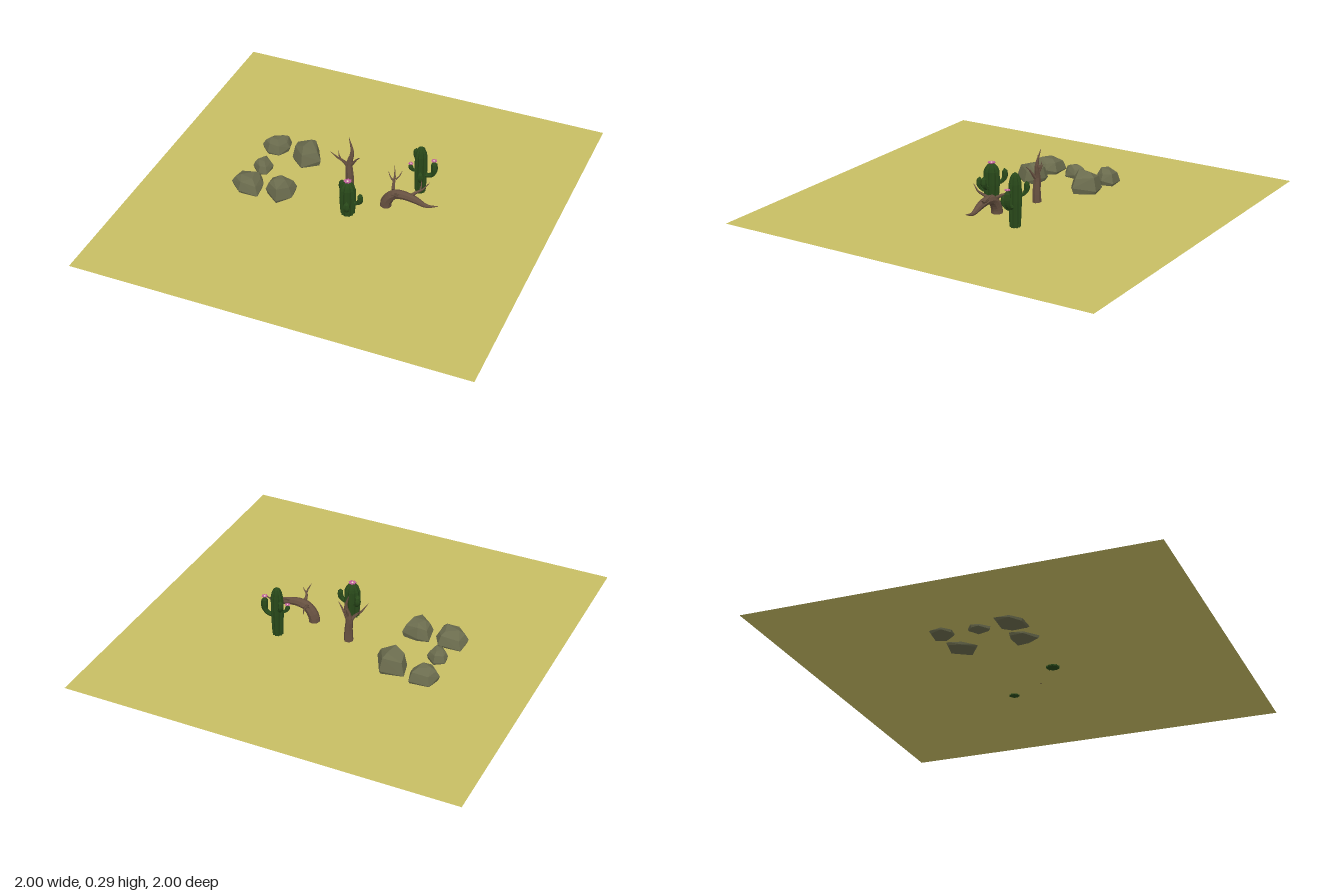
import * as THREE from 'three';
import { ConvexGeometry } from 'three/addons/geometries/ConvexGeometry.js';

const mat = (color, extra = {}) => {
  const m = new THREE.MeshStandardMaterial({ flatShading: true, ...extra });
  m.color.set(color);
  return m;
};
const GROUND = 0.012;

// Tapered tube along a path; profile is a list of [u, radius]; its start is capped flat.
function limb(name, path, profile, material, { sides = 7, rings = 10, rib = 0 } = {}) {
  const curve = new THREE.CatmullRomCurve3(path.map(p => new THREE.Vector3(...p)));
  const geo = new THREE.TubeGeometry(curve, rings, 1, sides);
  const pos = geo.attributes.position;
  const v = new THREE.Vector3();
  const radiusAt = u => {
    for (let k = 1; k < profile.length; k++) {
      const [u0, r0] = profile[k - 1], [u1, r1] = profile[k];
      if (u <= u1) return r0 + (r1 - r0) * (u - u0) / (u1 - u0);
    }
    return profile[profile.length - 1][1];
  };
  for (let i = 0; i <= rings; i++) {
    const centre = curve.getPointAt(i / rings);
    const r = radiusAt(i / rings);
    const capCentre = curve.getPointAt(Math.max(i, 1) / rings);
    for (let j = 0; j <= sides; j++) {
      const n = i * (sides + 1) + j;
      v.fromBufferAttribute(pos, n).sub(centre);
      v.multiplyScalar(i === 0 ? 0 : r * (j % 2 ? 1 - rib : 1)).add(capCentre);
      pos.setXYZ(n, v.x, v.y, v.z);
    }
  }
  geo.computeVertexNormals();
  const mesh = new THREE.Mesh(geo, material);
  mesh.name = name;
  return mesh;
}

// Faceted stone from a ground outline of [x, z] points
function rock(outline, height, material) {
  const cx = outline.reduce((s, p) => s + p[0], 0) / outline.length;
  const cz = outline.reduce((s, p) => s + p[1], 0) / outline.length;
  const pts = [];
  outline.forEach(([x, z], i) => {
    const layer = (k, y) => pts.push(new THREE.Vector3(cx + (x - cx) * k, y, cz + (z - cz) * k));
    layer(0.85, 0.004 * (i % 2));
    layer(1, 0.015 + height * 0.12 * (i % 3));
    layer(0.78, height * (0.66 + 0.07 * ((i * 2) % 3)));
    if (i % 2) layer(0.45, height * (1 - 0.04 * (i % 3)));
  });
  const mesh = new THREE.Mesh(new ConvexGeometry(pts), material);
  mesh.name = 'rock';
  return mesh;
}

// Ring of petals around a pale centre
function flower(x, y, z, size, petalMat, centreMat) {
  const g = new THREE.Group();
  g.name = 'flower';
  for (let i = 0; i < 7; i++) {
    const a = i / 7 * Math.PI * 2;
    const petal = new THREE.Mesh(new THREE.SphereGeometry(size * 0.42, 6, 4), petalMat);
    petal.name = 'petal';
    petal.scale.set(1.3, 0.45, 0.8);
    petal.position.set(Math.cos(a) * size * 0.55, 0, Math.sin(a) * size * 0.55);
    petal.rotation.set(0, -a, 0.4);
    g.add(petal);
  }
  const centre = new THREE.Mesh(new THREE.SphereGeometry(size * 0.32, 6, 4), centreMat);
  centre.name = 'flowerCentre';
  g.add(centre);
  g.position.set(x, y, z);
  return g;
}

// Ribbed column with elbowed arms; arms are [x, z, join height, top height, radius]
function cactus(name, x, z, top, radius, arms, material) {
  const g = new THREE.Group();
  g.name = name;
  const column = [[0, 0.8], [0.15, 0.88], [0.5, 1], [0.8, 0.95], [0.9, 0.78], [0.96, 0.5], [1, 0]]
    .map(([u, r]) => [u, r * radius]);
  g.add(limb('cactusBody', [[x, -0.003, z], [x, top / 2, z], [x, top, z]], column, material,
    { sides: 20, rings: 25, rib: 0.18 }));
  for (const [ax, az, joinY, topY, r] of arms) {
    const mix = (a, b, t) => a + (b - a) * t;
    g.add(limb('cactusArm', [
      [x, joinY, z],
      [mix(x, ax, 0.7), joinY, mix(z, az, 0.7)],
      [ax, joinY + 0.02, az],
      [ax, topY, az],
    ], [[0, r * 0.6], [0.45, r * 0.7], [0.7, r], [0.88, r * 0.85], [1, 0]], material,
    { sides: 12, rings: 16, rib: 0.15 }));
  }
  return g;
}

export function createModel() {
  const model = new THREE.Group();
  model.name = 'desertScene';
  const sand = mat(0xc8be64, { side: THREE.DoubleSide });
  const stone = mat(0x6b6c4e), green = mat(0x29491a), wood = mat(0x665040);
  const pink = mat(0xc0609c), pale = mat(0xf0d8c8);

  // Sand
  const ground = new THREE.Mesh(new THREE.PlaneGeometry(2, 2), sand);
  ground.name = 'ground';
  ground.rotation.x = -Math.PI / 2;
  ground.position.y = GROUND;
  model.add(ground);

  // Rocks
  const rocks = new THREE.Group();
  rocks.name = 'rocks';
  [
    [[[-0.54, -0.27], [-0.44, -0.285], [-0.425, -0.225], [-0.46, -0.17], [-0.52, -0.16], [-0.565, -0.2]], 0.09],
    [[[-0.4, -0.245], [-0.285, -0.275], [-0.23, -0.17], [-0.315, -0.115], [-0.385, -0.17]], 0.12],
    [[[-0.535, -0.065], [-0.49, -0.1], [-0.44, -0.06], [-0.45, 0], [-0.485, 0.02], [-0.535, -0.025]], 0.075],
    [[[-0.565, 0.06], [-0.45, 0.05], [-0.42, 0.1], [-0.415, 0.185], [-0.515, 0.19], [-0.575, 0.14]], 0.09],
    [[[-0.395, 0.07], [-0.34, 0.05], [-0.257, 0.06], [-0.257, 0.125], [-0.31, 0.2], [-0.39, 0.14]], 0.105],
  ].forEach(([outline, h]) => rocks.add(rock(outline, h, stone)));
  model.add(rocks);

  // Short cactus, blooming on top
  const shortCactus = cactus('shortCactus', 0.042, 0.127, 0.2, 0.041, [
    [-0.006, 0.083, 0.1, 0.17, 0.016],
    [0.107, 0.13, 0.085, 0.148, 0.016],
    [0.06, 0.185, 0.06, 0.125, 0.016],
  ], green);
  shortCactus.add(flower(0.042, 0.202, 0.127, 0.02, pink, pale));
  model.add(shortCactus);

  // Tall cactus, blooming on two arms
  const tallCactus = cactus('tallCactus', 0.303, -0.175, 0.282, 0.032, [
    [0.264, -0.213, 0.17, 0.235, 0.015],
    [0.37, -0.175, 0.12, 0.212, 0.018],
    [0.32, -0.124, 0.1, 0.165, 0.015],
    [0.258, -0.153, 0.14, 0.18, 0.012],
  ], green);
  tallCactus.add(flower(0.37, 0.212, -0.175, 0.015, pink, pale));
  tallCactus.add(flower(0.258, 0.18, -0.153, 0.013, pink, pale));
  model.add(tallCactus);

  // Standing dead tree
  const deadTree = new THREE.Group();
  deadTree.name = 'deadTree';
  deadTree.add(limb('trunk',
    [[-0.038, -0.005, -0.085], [-0.036, 0.07, -0.083], [-0.04, 0.14, -0.085], [-0.025, 0.21, -0.09], [-0.047, 0.287, -0.1]],
    [[0, 0.025], [0.1, 0.023], [0.45, 0.018], [0.7, 0.01], [1, 0.001]], wood, { rings: 14 }));
  [
    [[-0.04, 0.12, -0.085], [-0.065, 0.16, -0.07], [-0.09, 0.18, -0.06], [-0.12, 0.225, -0.037]],
    [[-0.035, 0.13, -0.085], [-0.01, 0.165, -0.075], [0.008, 0.19, -0.07], [0.028, 0.21, -0.062]],
    [[-0.035, 0.15, -0.085], [-0.038, 0.18, -0.1], [-0.04, 0.215, -0.118]],
    [[-0.075, 0.168, -0.066], [-0.09, 0.19, -0.075], [-0.092, 0.21, -0.08]],
  ].forEach((path, i) => deadTree.add(limb('branch', path, [[0, i > 2 ? 0.005 : 0.011], [1, 0.001]], wood,
    { sides: 5, rings: 7 })));
  model.add(deadTree);

  // Fallen trunk arching out of the sand
  const log = new THREE.Group();
  log.name = 'fallenTrunk';
  log.add(limb('trunk',
    [[0.188, -0.006, 0], [0.195, 0.045, 0], [0.23, 0.09, 0], [0.28, 0.1, 0], [0.34, 0.09, 0], [0.4, 0.07, 0], [0.46, 0.085, 0]],
    [[0, 0.03], [0.15, 0.028], [0.4, 0.023], [0.65, 0.018], [1, 0.001]], wood, { sides: 8, rings: 18 }));
  [
    [[0.225, 0.09, 0], [0.21, 0.12, -0.05], [0.2, 0.13, -0.09], [0.175, 0.145, -0.15]],
    [[0.25, 0.1, 0], [0.25, 0.115, 0.035], [0.26, 0.13, 0.06], [0.25, 0.16, 0.093]],
    [[0.31, 0.1, 0], [0.34, 0.12, -0.025], [0.36, 0.125, -0.045], [0.385, 0.15, -0.083]],
    [[0.208, 0.12, -0.06], [0.185, 0.135, -0.07], [0.165, 0.145, -0.095]],
    [[0.207, 0.125, -0.065], [0.225, 0.14, -0.085], [0.23, 0.155, -0.11]],
    [[0.255, 0.125, 0.05], [0.27, 0.135, 0.058], [0.28, 0.15, 0.06]],
    [[0.35, 0.122, -0.035], [0.352, 0.14, -0.055], [0.345, 0.16, -0.07]],
  ].forEach((path, i) => log.add(limb('branch', path, [[0, i > 2 ? 0.005 : 0.011], [1, 0.001]], wood,
    { sides: 5, rings: 7 })));
  model.add(log);

  return model;
}
